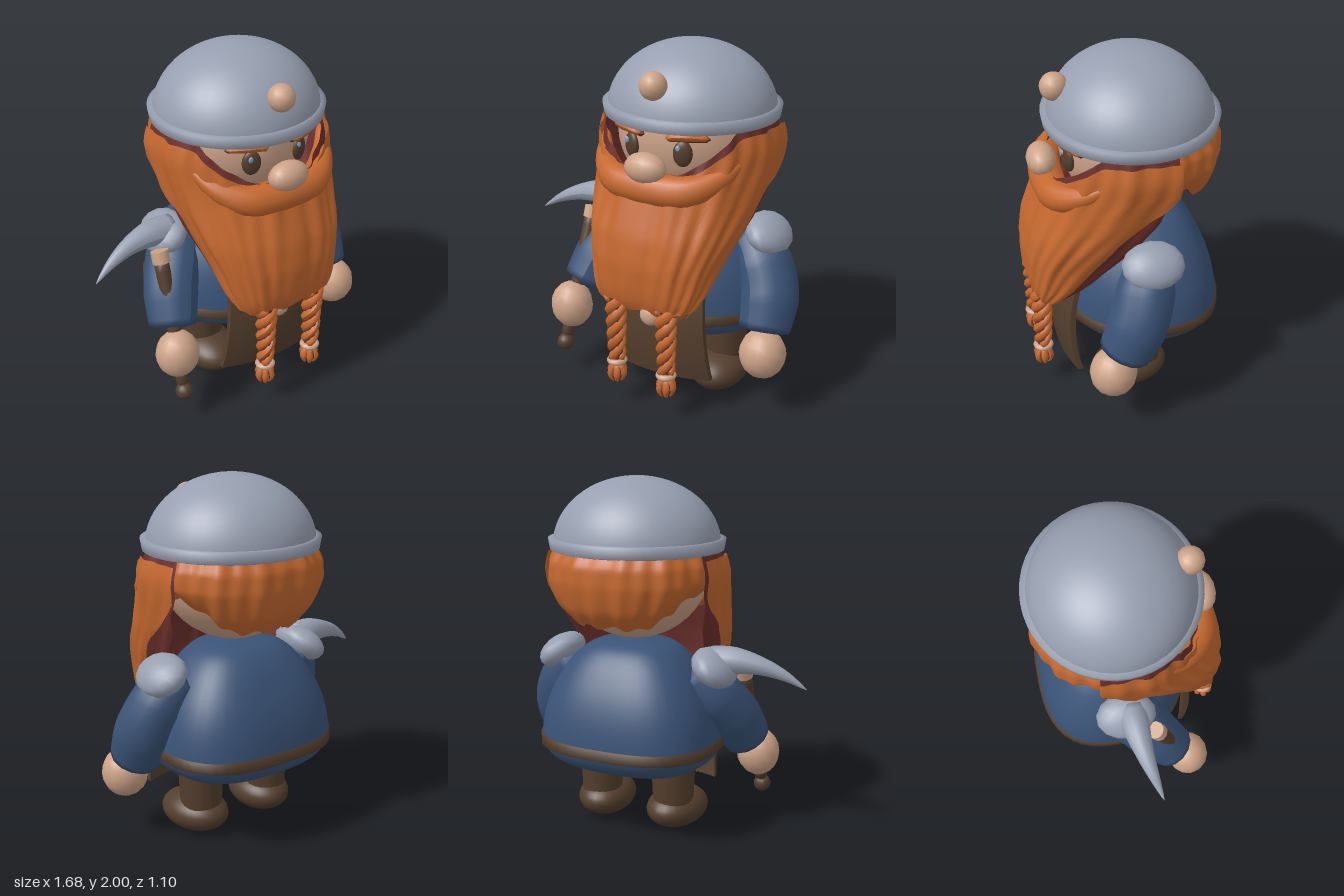
import * as THREE from 'three';

const mat = (name, color, open) => {
  const m = new THREE.MeshStandardMaterial({ color });
  m.name = name;
  if (open) m.side = THREE.DoubleSide;
  return m;
};
const CX = 0.13; // body axis
const smooth = THREE.MathUtils.smoothstep;

// Piecewise linear lookup in rows of [key, value, value...], keys ascending
function at(rows, key, k = 1) {
  if (key <= rows[0][0]) return rows[0][k];
  for (let i = 1; i < rows.length; i++) {
    if (key <= rows[i][0]) {
      const t = (key - rows[i - 1][0]) / (rows[i][0] - rows[i - 1][0]);
      return THREE.MathUtils.lerp(rows[i - 1][k], rows[i][k], t);
    }
  }
  return rows[rows.length - 1][k];
}

// Closed tube along a curve with a varying radius
function limb(points, radii, segs = 18, sides = 14) {
  const curve = new THREE.CatmullRomCurve3(points.map(p => new THREE.Vector3(...p)));
  const g = new THREE.TubeGeometry(curve, segs, 1, sides);
  const rows = radii.map((r, i) => [i / (radii.length - 1), r]);
  const pos = g.attributes.position, v = new THREE.Vector3();
  for (let i = 0; i <= segs; i++) {
    const c = curve.getPointAt(i / segs);
    const r = i === 0 || i === segs ? 0.001 : at(rows, i / segs);
    for (let j = 0; j <= sides; j++) {
      const n = i * (sides + 1) + j;
      v.fromBufferAttribute(pos, n).sub(c).multiplyScalar(r).add(c);
      pos.setXYZ(n, v.x, v.y, v.z);
    }
  }
  g.computeVertexNormals();
  return g;
}

// Wavy open shell of hair wrapped round the body axis
function hairShell({ turn = 0, top, bottom, spread, rows, curl = 0, inset = 0 }) {
  const NU = 72, NV = 20, p = [], idx = [];
  for (let j = 0; j <= NV; j++) {
    for (let i = 0; i <= NU; i++) {
      const u = -1 + 2 * i / NU, v = j / NV;
      const y = THREE.MathUtils.lerp(top(u), bottom(u), v);
      const a = turn + u * spread(y);
      const wave = 1 + 0.016 * Math.sin(a * 12 + y * 3) + 0.012 * Math.sin(a * 25 - y * 5);
      const f = wave * (1 - curl * Math.pow(v, 4)) - inset;
      const cz = at(rows, y, 3), power = 0.7 + 0.2 * smooth(y, 0.9, 1.35);
      const bend = t => Math.sign(t) * Math.pow(Math.abs(t), power);
      p.push(CX + at(rows, y, 1) * f * bend(Math.sin(a)), y,
        cz + (at(rows, y, 2) - cz) * f * bend(Math.cos(a)));
      if (i < NU && j < NV) {
        const n = j * (NU + 1) + i, m = n + NU + 1;
        idx.push(n, m, n + 1, n + 1, m, m + 1);
      }
    }
  }
  const g = new THREE.BufferGeometry();
  g.setAttribute('position', new THREE.Float32BufferAttribute(p, 3));
  g.setIndex(idx);
  g.computeVertexNormals();
  return g;
}

// Lathe whose back half is a little squarer in plan
function broadLathe(points) {
  const g = new THREE.LatheGeometry(points, 56), p = g.attributes.position;
  for (let i = 0; i < p.count; i++) {
    const x = p.getX(i), z = p.getZ(i), r2 = x * x + z * z;
    if (z >= 0 || r2 < 1e-8) continue;
    const k = 1 + 0.1 * (2 * x * z / r2) ** 2;
    p.setXYZ(i, x * k, p.getY(i), z * k);
  }
  g.computeVertexNormals();
  return g;
}

export function createModel() {
  const model = new THREE.Group();
  const orange = mat('orange hair', 0xc5682f, true), maroon = mat('dark hair', 0x6c302c, true);
  const blue = mat('blue tunic', 0x3a5377, true), grey = mat('grey metal', 0x979fb0, true);
  const skin = mat('skin', 0xcda388), brown = mat('brown leather', 0x533e2d, true);
  const glint = mat('pale eye glint', 0x7f9fc8);

  const add = (name, geo, material, pos = [0, 0, 0], scale = [1, 1, 1], rot = [0, 0, 0]) => {
    const m = new THREE.Mesh(geo, material);
    m.name = name;
    m.position.set(...pos); m.scale.set(...scale); m.rotation.set(...rot);
    model.add(m);
  };
  const ball = new THREE.SphereGeometry(1, 28, 20), pebble = new THREE.SphereGeometry(1, 14, 10);
  const vec2 = pts => pts.map(q => new THREE.Vector2(...q));

  // Round tunic and belt
  const tunic = new THREE.SplineCurve(vec2([[0, 0.36], [0.22, 0.37], [0.37, 0.42], [0.435, 0.51], [0.435, 0.62],
    [0.41, 0.75], [0.36, 0.88], [0.28, 1.01], [0.18, 1.09], [0, 1.12]]));
  add('tunic', broadLathe(tunic.getPoints(36)), blue, [CX, 0, -0.09], [1.16, 1, 1]);
  add('belt', broadLathe(vec2([[0.43, 0.51], [0.452, 0.51], [0.452, 0.57], [0.425, 0.57]])), brown,
    [CX, 0, -0.09], [1.14, 1, 1]);

  // Curved apron, wider towards the hem
  const apron = new THREE.BoxGeometry(1, 0.54, 0.03, 12, 10, 1), ap = apron.attributes.position;
  for (let i = 0; i < ap.count; i++) {
    const y = ap.getY(i) + 0.47, x = ap.getX(i) * (0.57 + (0.74 - y) * 0.2);
    ap.setXYZ(i, x + CX, y, ap.getZ(i) + 0.385 - 0.6 * x * x - 0.5 * (y - 0.42) ** 2);
  }
  apron.computeVertexNormals();
  add('apron', apron, brown);
  add('buckle', pebble, skin, [CX, 0.55, 0.385], [0.06, 0.06, 0.04]);

  // Legs and boots
  for (const [x, yaw] of [[-0.1, -0.12], [0.36, 0.12]]) {
    add('leg', new THREE.CylinderGeometry(0.13, 0.115, 0.32, 20), brown, [x, 0.29, -0.075]);
    add('boot', ball, brown, [x, 0.112, -0.015], [0.162, 0.112, 0.217], [0, yaw, 0]);
  }

  // Sleeves, hands and shoulder plates
  add('leftSleeve', limb([[0.46, 0.96, -0.1], [0.57, 0.86, -0.06], [0.66, 0.68, 0], [0.68, 0.45, 0.1]],
    [0.11, 0.16, 0.165, 0.14]), blue);
  add('rightSleeve', limb([[-0.2, 0.96, -0.1], [-0.3, 0.84, -0.04], [-0.39, 0.7, 0.06], [-0.46, 0.5, 0.19]],
    [0.11, 0.16, 0.155, 0.13]), blue);
  add('leftHand', pebble, skin, [0.71, 0.375, 0.155], [0.13, 0.14, 0.13]);
  add('rightHand', pebble, skin, [-0.485, 0.41, 0.27], [0.125, 0.14, 0.12]);
  for (const s of [-1, 1])
    add('shoulderPlate', pebble, grey, [CX + s * 0.48, 0.98, -0.08], [0.135, 0.09, 0.17], [0, 0, -s * 0.65]);

  // Curved blade and the handle held in the right hand
  add('blade', limb([[-0.3, 1.0, -0.05], [-0.45, 1.02, -0.04], [-0.6, 1.0, -0.02], [-0.73, 0.95, 0.01], [-0.84, 0.88, 0.04]],
    [0.09, 0.077, 0.052, 0.03, 0.004]), grey);
  add('handle', limb([[-0.46, 0.94, 0.07], [-0.47, 0.6, 0.2], [-0.49, 0.2, 0.335]], [0.042, 0.04, 0.036]), brown);
  add('handleCollar', new THREE.CylinderGeometry(0.05, 0.05, 0.07, 10), skin, [-0.46, 0.935, 0.075], [1, 1, 1], [-0.35, 0, 0]);
  add('pommel', pebble, brown, [-0.49, 0.19, 0.34], [0.05, 0.05, 0.05]);

  // Head, nose, eyes and brows
  add('head', ball, skin, [CX, 1.52, -0.08], [0.42, 0.41, 0.41]);
  add('nose', pebble, skin, [CX, 1.415, 0.42], [0.12, 0.083, 0.08]);
  for (const s of [-1, 1]) {
    const x = CX + s * 0.155;
    add('eye', ball, brown, [x, 1.485, 0.303], [0.052, 0.07, 0.025], [0, s * 0.38, 0]);
    add('eyeGlint', ball, glint, [x - 0.018, 1.515, 0.325], [0.014, 0.018, 0.008]);
    add('browShadow', limb([[x - s * 0.09, 1.56, 0.32], [x, 1.575, 0.305], [x + s * 0.13, 1.565, 0.24]],
      [0.02, 0.028, 0.015], 12, 8), maroon);
    add('brow', limb([[x - s * 0.08, 1.57, 0.345], [x, 1.585, 0.33], [x + s * 0.13, 1.575, 0.26]],
      [0.02, 0.027, 0.015], 12, 8), orange);
  }

  // Beard: outer and inner shell; rows are height, half width, front z, side z
  const beard = {
    rows: [[0.62, 0.25, 0.5, 0.42], [0.67, 0.3, 0.53, 0.4], [0.75, 0.335, 0.545, 0.33], [0.9, 0.375, 0.55, 0.23],
      [1.05, 0.43, 0.525, 0.13], [1.2, 0.47, 0.475, 0.04], [1.4, 0.505, 0.41, -0.05], [1.5, 0.515, 0.38, -0.06], [1.62, 0.48, 0.36, -0.06]],
    top: u => 1.36 + 0.22 * smooth(Math.abs(u), 0.12, 0.62),
    bottom: u => 0.64 + 0.02 * Math.sin(u * 24),
    spread: y => 1.57 + 0.32 * smooth(y, 1.1, 1.4),
  };
  add('beard', hairShell(beard), orange);
  add('beardLining', hairShell({
    ...beard, inset: 0.05, top: u => beard.top(u) + 0.03,
    bottom: u => beard.bottom(u) + 0.01, spread: y => beard.spread(y) + 0.3 * smooth(1.35 - y, 0, 0.2),
  }), maroon);
  const half = [[0.44, 1.48, 0.12], [0.36, 1.38, 0.25], [0.22, 1.31, 0.365]];
  const side = s => half.map(([x, y, z]) => [CX + s * x, y, z]);
  add('moustache', limb([...side(-1), [CX, 1.3, 0.395], ...side(1).reverse()],
    [0.015, 0.06, 0.088, 0.092, 0.088, 0.06, 0.015], 32), orange);

  // Hair round the back of the head
  const hair = {
    turn: Math.PI, curl: 0.14, spread: () => 1.5,
    rows: [[1.2, 0.4, 0.33, -0.07], [1.3, 0.45, 0.37, -0.07], [1.45, 0.485, 0.385, -0.07], [1.55, 0.47, 0.38, -0.07], [1.64, 0.43, 0.33, -0.07]],
    top: () => 1.62,
    bottom: u => 1.22 + 0.17 * smooth(Math.abs(u), 0.3, 0.95) + 0.012 * Math.sin(u * 26),
  };
  add('backHair', hairShell(hair), orange);
  add('backHairLining', hairShell({ ...hair, inset: 0.05 }), maroon);

  // Two braids with ties and tufts
  for (const x of [-0.03, 0.29]) {
    for (let k = 0; k < 3; k++) {
      const pts = [];
      for (let i = 0; i <= 24; i++) {
        const t = i / 24, a = t * 11 + k * Math.PI * 2 / 3, r = 0.036 - 0.008 * t;
        pts.push([x + r * Math.cos(a), 0.68 - 0.4 * t, 0.475 + r * Math.sin(a)]);
      }
      add('braidStrand', limb(pts, [0.031, 0.023], 44, 7), orange);
    }
    add('braidCore', new THREE.CylinderGeometry(0.048, 0.038, 0.38, 8), maroon, [x, 0.48, 0.475]);
    add('braidTie', new THREE.TorusGeometry(0.04, 0.018, 8, 16), skin, [x, 0.27, 0.475], [1, 1, 1], [Math.PI / 2, 0, 0]);
    add('tuftCore', pebble, maroon, [x, 0.2, 0.475], [0.045, 0.055, 0.045]);
    for (let k = 0; k < 6; k++) {
      const c = Math.cos(k * Math.PI / 3), s = Math.sin(k * Math.PI / 3);
      add('tuft', limb([[x + c * 0.02, 0.26, 0.475 + s * 0.02], [x + c * 0.04, 0.2, 0.475 + s * 0.04],
        [x + c * 0.025, 0.14, 0.475 + s * 0.025]], [0.015, 0.022, 0.008], 8, 6), orange);
    }
  }

  // Helmet dome, flared rim with a blue underside, and front knob
  add('helmet', new THREE.SphereGeometry(1, 40, 16, 0, Math.PI * 2, 0, Math.PI / 2), grey,
    [CX, 1.62, -0.06], [0.47, 0.38, 0.445]);
  add('helmetRim', new THREE.LatheGeometry(vec2([[0.465, 1.6], [0.485, 1.605], [0.495, 1.665], [0.455, 1.67]]), 48), grey,
    [CX, 0, -0.06], [1, 1, 0.955]);
  add('rimUnderside', new THREE.RingGeometry(0.4, 0.468, 48), blue,
    [CX, 1.6, -0.06], [1, 0.955, 1], [Math.PI / 2, 0, 0]);
  add('helmetKnob', pebble, skin, [CX, 1.83, 0.34], [0.075, 0.075, 0.075]);

  return model;
}
